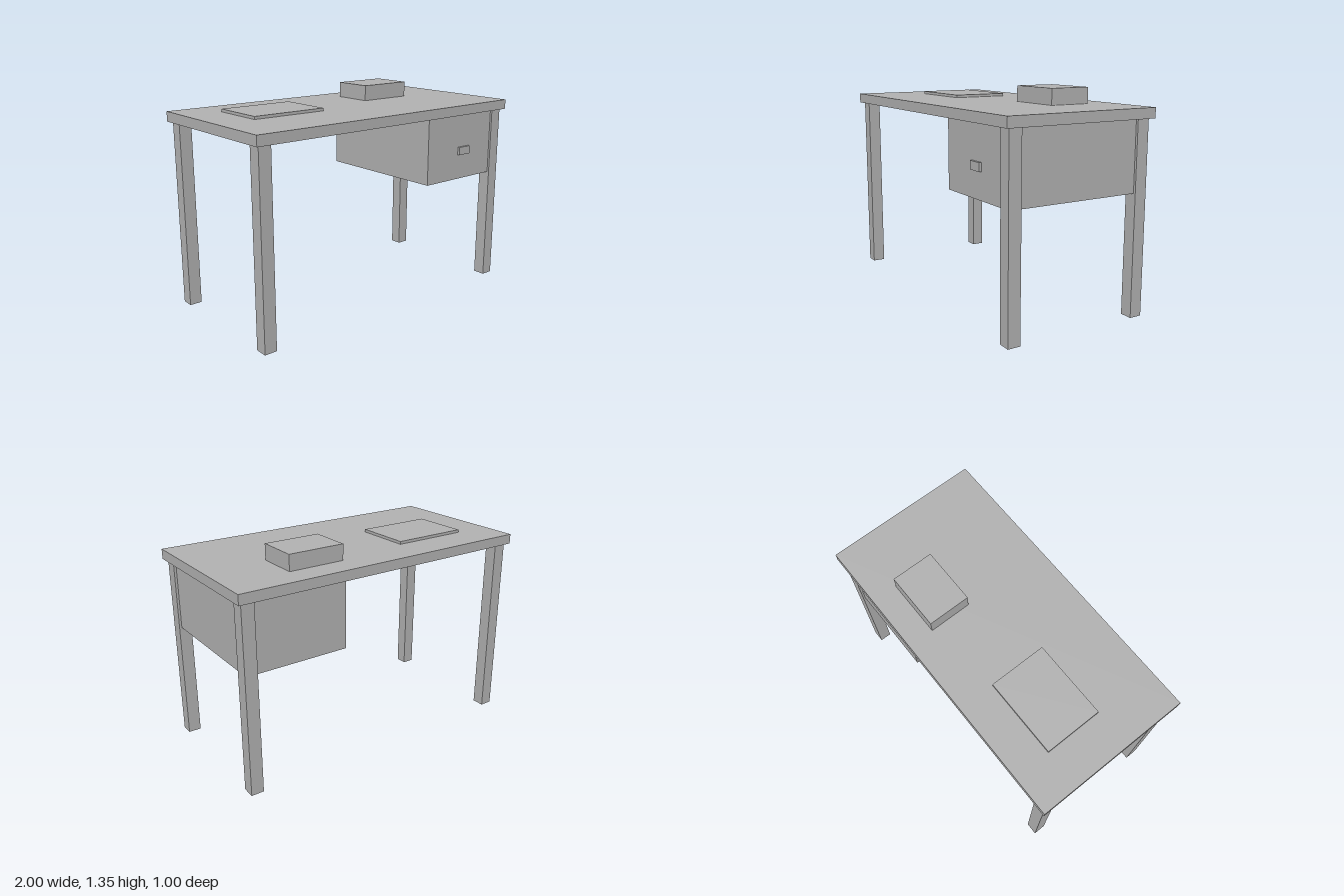
import * as THREE from 'three';

export function createModel() {
  const desk = new THREE.Group();
  desk.name = 'desk';
  const grey = new THREE.MeshStandardMaterial({ color: 0xb2b2b2 });
  grey.name = 'plain grey';

  // Box given by its extents along each axis
  function block(name, [x0, x1], [y0, y1], [z0, z1]) {
    const mesh = new THREE.Mesh(new THREE.BoxGeometry(x1 - x0, y1 - y0, z1 - z0), grey);
    mesh.position.set((x0 + x1) / 2, (y0 + y1) / 2, (z0 + z1) / 2);
    mesh.name = name;
    desk.add(mesh);
    return mesh;
  }

  // Worktop
  block('tabletop', [-1, 1], [1.187, 1.25], [-0.5, 0.5]);

  // Four square legs, mirrored to the corners
  for (const [side, sx] of [['Left', 1], ['Right', -1]]) {
    for (const [end, sz] of [['front', 1], ['back', -1]]) {
      const leg = block(end + side + 'Leg', [0.895, 0.975], [0, 1.187], [0.393, 0.473]);
      leg.position.x *= sx;
      leg.position.z *= sz;
    }
  }

  // Drawer cabinet hung under the top, with its pull
  block('drawerCabinet', [0.3, 0.96], [0.755, 1.187], [-0.46, 0.46]);
  block('drawerHandle', [0.58, 0.68], [0.918, 0.97], [0.455, 0.475]);

  // Objects lying on the worktop
  block('deskPad', [-0.753, -0.256], [1.25, 1.268], [-0.268, 0.098]);
  block('smallBox', [0.23, 0.595], [1.25, 1.35], [-0.335, -0.067]);

  return desk;
}
